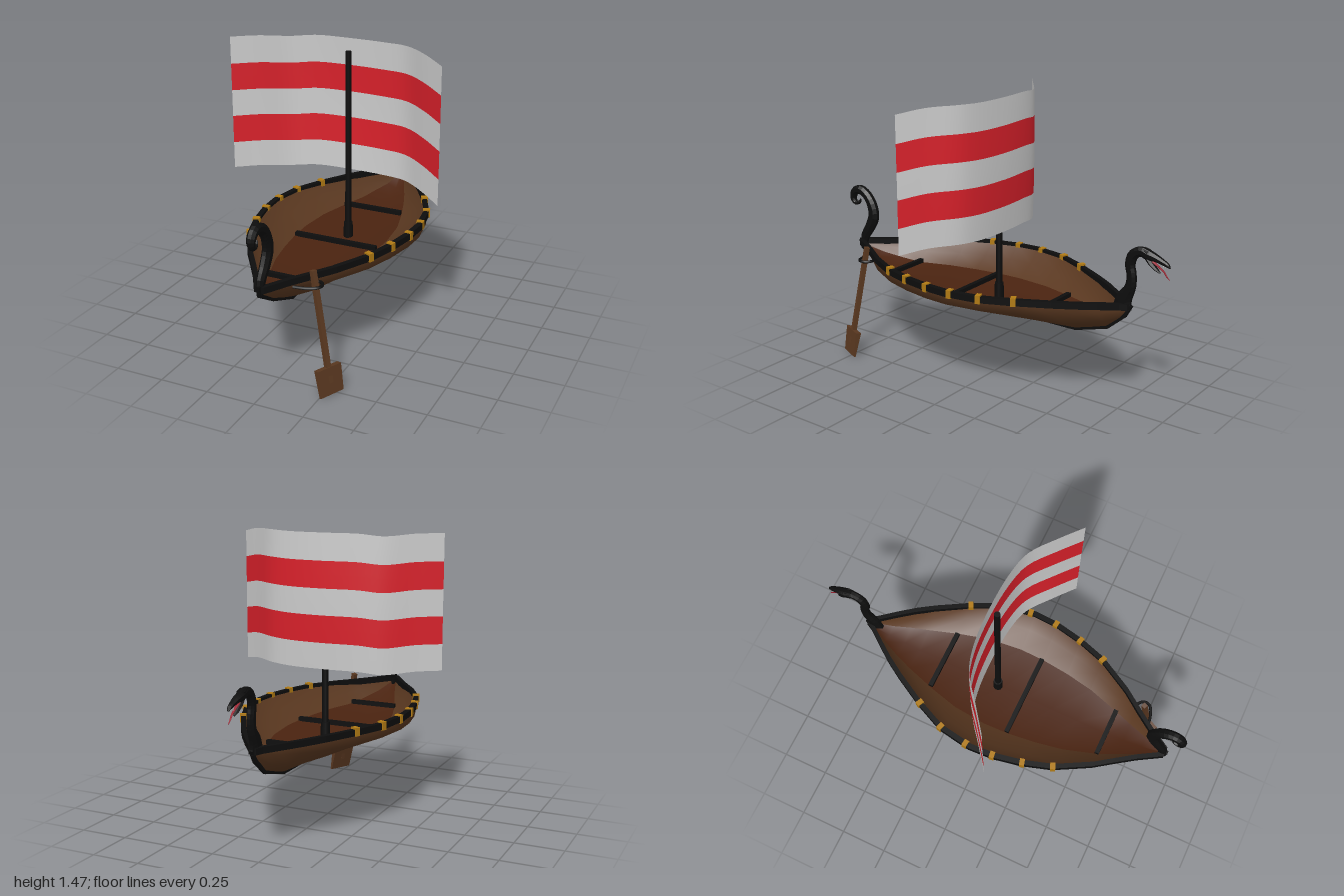
import * as THREE from 'three';

const mat = (color, extra = {}) => new THREE.MeshStandardMaterial({ color, ...extra });
const V = (x, y, z) => new THREE.Vector3(x, y, z);
const { lerp } = THREE.MathUtils;

// Skin a list of equally sized rings; closed rings also get end caps
function loft(rings, closed) {
  const n = rings[0].length, index = [];
  const pos = rings.flat().flatMap((p) => [p.x, p.y, p.z]);
  for (let i = 0; i < rings.length - 1; i++) {
    for (let j = 0; j < (closed ? n : n - 1); j++) {
      const a = i * n + j, b = i * n + (j + 1) % n;
      index.push(a, b, b + n, a, b + n, a + n);
    }
  }
  if (closed) {
    const e = (rings.length - 1) * n;
    for (let j = 1; j < n - 1; j++) index.push(0, j + 1, j, e, e + j, e + j + 1);
  }
  const g = new THREE.BufferGeometry();
  g.setAttribute('position', new THREE.Float32BufferAttribute(pos, 3));
  g.setIndex(index);
  g.computeVertexNormals();
  return g;
}

// Sweep an oval along a centreline of [z, y, half thickness, half width in x]
function sweep(pts, sides = 8, samples = 0) {
  let rows = pts;
  if (samples) {
    const path = new THREE.CatmullRomCurve3(pts.map((p) => V(0, p[1], p[0])));
    const size = new THREE.CatmullRomCurve3(pts.map((p) => V(p[2], p[3], 0)));
    rows = Array.from({ length: samples + 1 }, (_, i) => {
      const c = path.getPoint(i / samples), s = size.getPoint(i / samples);
      return [c.z, c.y, s.x, s.y];
    });
  }
  return loft(rows.map(([z, y, a, b], i) => {
    const p = rows[Math.max(i - 1, 0)], q = rows[Math.min(i + 1, rows.length - 1)];
    const t = new THREE.Vector2(q[0] - p[0], q[1] - p[1]).normalize();
    return Array.from({ length: sides }, (_, k) => {
      const w = ((k + 0.5) / sides) * Math.PI * 2, c = Math.cos(w) * a;
      return V(Math.sin(w) * b, y - t.x * c, z + t.y * c);
    });
  }), true);
}

// Hull stations: [z, half width, gunwale height, keel height]
const stations = [
  [0.92, 0.012, 0.555, 0.52], [0.8, 0.085, 0.558, 0.45], [0.7, 0.155, 0.56, 0.408],
  [0.61, 0.22, 0.563, 0.373], [0.43, 0.32, 0.568, 0.37], [0.28, 0.368, 0.57, 0.37],
  [0.13, 0.398, 0.572, 0.37], [0, 0.405, 0.572, 0.37], [-0.18, 0.375, 0.57, 0.37],
  [-0.34, 0.302, 0.568, 0.37], [-0.5, 0.212, 0.565, 0.373], [-0.59, 0.155, 0.563, 0.397],
  [-0.68, 0.088, 0.56, 0.425], [-0.76, 0.025, 0.557, 0.49], [-0.795, 0.006, 0.555, 0.53],
];

function halfWidth(z) {
  const i = Math.max(1, stations.findIndex((s) => s[0] <= z));
  const a = stations[i - 1], b = stations[i];
  return lerp(a[1], b[1], (z - a[0]) / (b[0] - a[0]));
}

export function createModel() {
  const model = new THREE.Group();
  const add = (name, geo, material, parent = model) => {
    const m = new THREE.Mesh(geo, material);
    m.name = name;
    parent.add(m);
    return m;
  };
  const black = mat(0x0d0d0d), wood = mat(0x5a3820), gold = mat(0xb07a14);
  const blackFlat = mat(0x0d0d0d, { flatShading: true });
  const plank = mat(0x5a3820, { side: THREE.DoubleSide });
  const floorMat = mat(0x4a2310, { side: THREE.DoubleSide });

  // Hull shell: sheer strake, then a shallow V down to the keel
  add('hull', loft(stations.map(([z, w, top, keel]) => {
    const chine = lerp(keel, top, 0.68);
    const half = [[w, top], [w, chine], [w * 0.5, lerp(keel, chine, 0.42)]];
    return [...half.map(([x, y]) => V(x, y, z)), V(0, keel, z),
      ...half.reverse().map(([x, y]) => V(-x, y, z))];
  }), false), plank);

  // Inner planking and floor
  const floorEdge = ([z, w, top, keel], s) => V(s * w * 0.57, lerp(keel, top, 0.43), z);
  for (const s of [1, -1]) {
    add('innerPlanking', loft(stations.map((st) =>
      [V(s * st[1] * 0.97, st[2], st[0]), V(s * st[1] * 0.82, lerp(st[3], st[2], 0.68), st[0]),
        floorEdge(st, s)]), false), plank);
  }
  add('floor', loft(stations.map((st) =>
    [floorEdge(st, 1), V(0, lerp(st[3], st[2], 0.28), st[0]), floorEdge(st, -1)]), false), floorMat);

  // Gunwale rails with gold bands
  for (const s of [1, -1]) {
    add('gunwale', loft(stations.map(([z, w, top]) =>
      [[1, 1], [1, -1], [-1, -1], [-1, 1]].map(([a, b]) =>
        V(s * w + a * 0.014, top - 0.004 + b * 0.016, z))), true), blackFlat);
    for (const z of [0.43, 0.28, 0.125, -0.025, -0.18, -0.335]) {
      const band = add('goldBand', new THREE.BoxGeometry(0.036, 0.042, 0.026), gold);
      band.position.set(s * halfWidth(z), 0.568, z);
      band.rotation.y = s * Math.atan2(halfWidth(z + 0.04) - halfWidth(z - 0.04), 0.08);
    }
  }

  // Keel strip running up into both stems
  add('keel', sweep([[0.922, 0.57, 0.016, 0.014], [0.918, 0.52, 0.014, 0.012],
    [0.8, 0.448, 0.012, 0.01], [0.61, 0.371, 0.012, 0.01], [-0.5, 0.371, 0.012, 0.01],
    [-0.68, 0.422, 0.012, 0.01], [-0.77, 0.5, 0.014, 0.012], [-0.8, 0.56, 0.016, 0.014]], 4), blackFlat);

  // Curled end post
  add('curledPost', sweep([[0.905, 0.52, 0.02, 0.012], [0.9, 0.58, 0.026, 0.02],
    [0.86, 0.645, 0.03, 0.024], [0.83, 0.71, 0.034, 0.025], [0.84, 0.775, 0.032, 0.025],
    [0.88, 0.83, 0.028, 0.025], [0.93, 0.85, 0.026, 0.024], [0.967, 0.83, 0.023, 0.023],
    [0.978, 0.795, 0.018, 0.02], [0.962, 0.77, 0.013, 0.016], [0.935, 0.775, 0.009, 0.011],
    [0.925, 0.795, 0.003, 0.004]], 8, 30), blackFlat);

  // Serpent neck, upper head and snout
  add('serpentNeck', sweep([[-0.755, 0.54, 0.05, 0.022], [-0.765, 0.59, 0.042, 0.022],
    [-0.795, 0.65, 0.028, 0.021], [-0.8, 0.71, 0.025, 0.02], [-0.79, 0.765, 0.026, 0.02],
    [-0.805, 0.815, 0.027, 0.02], [-0.845, 0.838, 0.025, 0.02], [-0.885, 0.828, 0.026, 0.024],
    [-0.92, 0.822, 0.019, 0.021], [-0.955, 0.81, 0.014, 0.016], [-0.985, 0.797, 0.01, 0.011],
    [-0.998, 0.785, 0.003, 0.005]], 8, 30), blackFlat);
  add('lowerJaw', sweep([[-0.875, 0.82, 0.014, 0.016], [-0.9, 0.79, 0.012, 0.017],
    [-0.925, 0.768, 0.009, 0.013], [-0.948, 0.752, 0.003, 0.005]], 6), blackFlat);
  const red = mat(0xa02030);
  add('tongue', sweep([[-0.9, 0.805, 0.005, 0.009], [-0.94, 0.782, 0.004, 0.007],
    [-0.97, 0.76, 0.003, 0.005], [-0.98, 0.745, 0.003, 0.004], [-0.998, 0.727, 0.001, 0.002]], 4), red);
  for (const s of [1, -1]) {
    const horn = add('browHorn', new THREE.ConeGeometry(0.007, 0.04, 5), black);
    horn.position.set(s * 0.016, 0.852, -0.87);
    horn.rotation.x = 1.1;
    const fang = add('fang', new THREE.ConeGeometry(0.003, 0.016, 4), mat(0xcccccc));
    fang.position.set(s * 0.008, 0.785, -0.968);
    fang.rotation.x = Math.PI;
  }

  // Cross beams on the floor edges
  for (const [z, half] of [[-0.35, 0.165], [0.125, 0.225], [0.6, 0.13]]) {
    add('crossBeam', new THREE.BoxGeometry(half * 2, 0.022, 0.024), black).position.set(0, 0.465, z);
  }

  // Mast with thicker foot
  add('mast', new THREE.CylinderGeometry(0.015, 0.016, 1, 12), black).position.set(0, 0.917, -0.03);
  add('mastFoot', new THREE.CylinderGeometry(0.023, 0.025, 0.09, 12), black).position.set(0, 0.465, -0.03);

  // Curved sail in five stripes
  const plan = new THREE.CatmullRomCurve3([V(-0.555, 0, 0.16), V(-0.44, 0, 0.075), V(-0.31, -0.011, -0.02),
    V(-0.19, 0, -0.052), V(0, 0, -0.063), V(0.19, 0, -0.052), V(0.31, 0.003, -0.02),
    V(0.44, -0.002, 0.075), V(0.555, -0.025, 0.16)]);
  const sail = new THREE.Group();
  sail.name = 'sail';
  model.add(sail);
  const levels = [0.79, 0.925, 1.065, 1.2, 1.337, 1.475];
  const white = mat(0xcccccc, { side: THREE.DoubleSide });
  const stripe = mat(0xd8202a, { side: THREE.DoubleSide });
  for (let k = 0; k < 5; k++) {
    const rows = [0, 0.5, 1].map((f) => {
      const y = lerp(levels[k], levels[k + 1], f);
      const belly = 0.012 * Math.sin(((y - 0.79) / 0.685) * Math.PI);
      return plan.getPoints(32).map((p) => V(p.x, y + p.y, p.z - belly * (1 - Math.abs(p.x) / 0.6)));
    });
    add(k % 2 ? 'redStripe' : 'paleStripe', loft(rows.reverse(), false), k % 2 ? stripe : white, sail);
  }

  // Steering oar: local y runs up the shaft, blade wide along local z
  const oar = new THREE.Group();
  oar.name = 'steeringOar';
  const top = V(0.173, 0.597, 0.727), tip = V(0.287, 0.005, 0.775);
  const up = top.clone().sub(tip), length = up.length();
  up.normalize();
  const wide = V(-0.06, 0, 0.125).addScaledVector(up, -V(-0.06, 0, 0.125).dot(up)).normalize();
  const thin = new THREE.Vector3().crossVectors(up, wide);
  oar.quaternion.setFromRotationMatrix(new THREE.Matrix4().makeBasis(thin, up, wide));
  oar.position.copy(tip);
  model.add(oar);
  add('oarShaft', new THREE.BoxGeometry(0.024, length - 0.06, 0.024), wood, oar).position.y = length / 2 + 0.03;
  const blade = new THREE.BoxGeometry(0.03, 0.135, 0.135);
  const bp = blade.attributes.position;
  for (let i = 0; i < bp.count; i++) if (bp.getY(i) < 0) bp.setX(i, bp.getX(i) * 0.35);
  blade.computeVertexNormals();
  add('oarBlade', blade, wood, oar).position.y = 0.07;

  // Loop holding the oar to the hull
  const loop = new THREE.CatmullRomCurve3([V(0.1, 0.525, 0.785), V(0.16, 0.525, 0.775), V(0.21, 0.527, 0.75),
    V(0.215, 0.527, 0.715), V(0.19, 0.527, 0.69), V(0.15, 0.525, 0.695)]);
  add('oarLoop', new THREE.TubeGeometry(loop, 20, 0.008, 6), black);

  return model;
}
